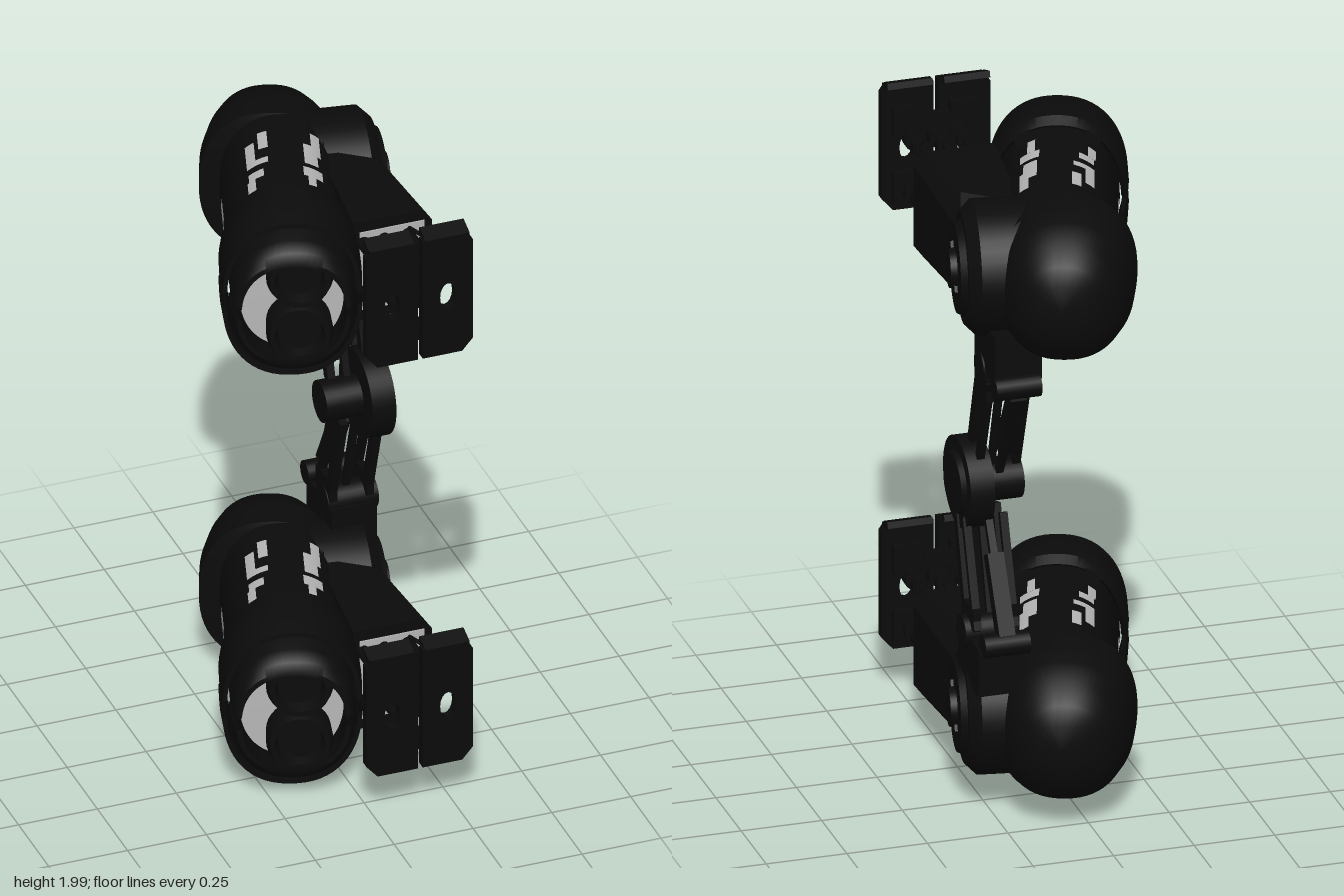
import * as THREE from 'three';
import { toCreasedNormals } from 'three/addons/utils/BufferGeometryUtils.js';
import { ConvexGeometry } from 'three/addons/geometries/ConvexGeometry.js';

const dark = new THREE.MeshStandardMaterial({ color: 0x0b0b0b, side: THREE.DoubleSide });
dark.name = 'black metal';
const pale = new THREE.MeshStandardMaterial({ color: 0xb8b8b8, side: THREE.DoubleSide });
pale.name = 'pale grey';

function add(parent, name, geo, mat = dark, x = 0, y = 0, z = 0) {
  const m = new THREE.Mesh(geo, mat);
  m.name = name;
  m.position.set(x, y, z);
  parent.add(m);
  return m;
}

// box given by its extents
function box(parent, name, x0, x1, y0, y1, z0, z1, mat = dark) {
  return add(parent, name, new THREE.BoxGeometry(x1 - x0, y1 - y0, z1 - z0), mat,
    (x0 + x1) / 2, (y0 + y1) / 2, (z0 + z1) / 2);
}

// cylinder along x
function xDisc(parent, name, r0, r1, x0, x1, y, z, sides = 40) {
  const g = new THREE.CylinderGeometry(r1, r0, x1 - x0, sides).rotateZ(-Math.PI / 2);
  return add(parent, name, g, dark, (x0 + x1) / 2, y, z);
}

// cylinder along z
function zRod(parent, name, r, x, y, z0, z1, sides = 14) {
  const g = new THREE.CylinderGeometry(r, r, z1 - z0, sides).rotateX(Math.PI / 2);
  return add(parent, name, g, dark, x, y, (z0 + z1) / 2);
}

// bar lying in a plane of constant x
function bar(parent, name, x, [y0, z0], [y1, z1], w, d) {
  const g = new THREE.BoxGeometry(w, Math.hypot(y1 - y0, z1 - z0), d);
  const m = add(parent, name, g, dark, x, (y0 + y1) / 2, (z0 + z1) / 2);
  m.rotation.x = Math.atan2(z1 - z0, y1 - y0);
}

// sweep a profile of [z, rx, ry, cx] round the pod axis, angles in degrees
function shell(profile, a0 = 0, a1 = 360) {
  const n = Math.max(4, Math.ceil((a1 - a0) / 6));
  const pos = [], idx = [];
  const soft = v => Math.sign(v) * Math.pow(Math.abs(v), 0.88);
  profile.forEach(([z, rx, ry, cx = 0], i) => {
    for (let j = 0; j <= n; j++) {
      const a = THREE.MathUtils.degToRad(a0 + (a1 - a0) * j / n);
      pos.push(cx + rx * soft(Math.cos(a)), ry * soft(Math.sin(a)), z);
      if (i && j) {
        const b = i * (n + 1) + j, p = b - n - 1;
        idx.push(p - 1, p, b, p - 1, b, b - 1);
      }
    }
  });
  const g = new THREE.BufferGeometry();
  g.setAttribute('position', new THREE.Float32BufferAttribute(pos, 3));
  g.setIndex(idx);
  g.computeVertexNormals();
  return toCreasedNormals(g, 0.6);
}

function makePod(name) {
  const pod = new THREE.Group();
  pod.name = name;
  const hull = new THREE.Group();
  hull.name = 'hull';
  hull.position.x = -0.058;
  hull.rotation.y = -0.31;
  pod.add(hull);

  // main body and domed rear cap
  add(hull, 'body', shell([[-0.4, 0.18, 0.235], [0.3, 0.18, 0.235], [0.33, 0.15, 0.19], [0.33, 0, 0]]));
  add(hull, 'rearCap', shell([
    [-0.61, 0, 0, -0.02], [-0.61, 0.06, 0.08, -0.02], [-0.585, 0.115, 0.135, -0.025],
    [-0.53, 0.165, 0.19, -0.025], [-0.46, 0.19, 0.222, -0.025], [-0.38, 0.205, 0.238, -0.03],
    [-0.29, 0.208, 0.24, -0.033], [-0.285, 0.17, 0.22, -0.01]]));

  // split hoop round the front, and the two jaws inside it
  const hoop = [[0.15, 0.2, 0.265], [0.18, 0.21, 0.285], [0.27, 0.212, 0.282], [0.375, 0.208, 0.262],
    [0.375, 0.195, 0.248], [0.17, 0.19, 0.252], [0.15, 0.2, 0.265]];
  const jaw = [[0.28, 0.185, 0.235], [0.4, 0.183, 0.222], [0.44, 0.178, 0.2], [0.455, 0.17, 0.175],
    [0.455, 0.155, 0.16], [0.3, 0.165, 0.2], [0.28, 0.185, 0.235]];
  for (const [a0, a1] of [[4, 175], [185, 356]]) {
    add(hull, 'hoop', shell(hoop, a0, a1));
    add(hull, 'jaw', shell(jaw, a0, a1));
  }
  for (const a of [60, 120, 240, 300]) add(hull, 'hoopBracket', shell(
    [[0.15, 0.17, 0.225], [0.15, 0.2, 0.268], [0.24, 0.2, 0.268], [0.24, 0.17, 0.225]], a - 8, a + 8));
  add(hull, 'mouthPlate', shell([[0.334, 0.155, 0.185], [0.336, 0, 0]]), pale);
  for (const s of [-1, 1]) {
    const tube = new THREE.LatheGeometry([[0, 0.31], [0.095, 0.31], [0.1, 0.4], [0.09, 0.43], [0.075, 0.43],
      [0.065, 0.39], [0, 0.39]].map(p => new THREE.Vector2(...p)), 32).rotateX(Math.PI / 2);
    add(hull, 'barrel', toCreasedNormals(tube, 0.5), dark, 0.02, 0.095 * s, 0);
  }

  // pale patches showing inside the long slots: [z0, z1, angle0, angle1]
  const patch = (z0, z1, a0, a1) => add(hull, 'slotPatch',
    shell([[z0, 0.183, 0.238], [z1, 0.183, 0.238]], a0, a1), pale);
  for (const s of [1, -1]) {
    for (const [z0, z1, a0, a1] of [[-0.2, -0.11, 102, 111], [-0.16, -0.04, 115, 125], [-0.06, -0.03, 103, 125],
      [0.0, 0.04, 108, 124], [0.04, 0.11, 117, 126],
      [-0.2, -0.08, 56, 66], [-0.13, -0.02, 60, 74], [0.0, 0.05, 56, 76], [0.05, 0.13, 64, 72]])
      patch(z0, z1, s > 0 ? a0 : -a1, s > 0 ? a1 : -a0);
    for (const a of s > 0 ? [114, 65] : [-114, -65]) for (const e of [-14, 14])
      add(hull, 'slotRim', shell([[-0.22, 0.184, 0.239], [0.14, 0.184, 0.239]], a + e - 1, a + e + 1));
  }
  patch(-0.14, -0.02, 172, 179);
  patch(-0.04, 0.06, 176, 186);
  patch(0.04, 0.14, 171, 178);

  // round shoulder boss on the outer side
  const boss = new THREE.Group();
  boss.name = 'shoulderBoss';
  boss.position.set(0.2, 0.01, -0.23);
  boss.rotation.y = -0.17;
  pod.add(boss);
  xDisc(boss, 'bossBase', 0.205, 0.205, -0.12, 0.07, 0, 0);
  xDisc(boss, 'bossBevel', 0.205, 0.17, 0.07, 0.105, 0, 0);
  xDisc(boss, 'bossFace', 0.145, 0.135, 0.105, 0.125, 0, 0);
  xDisc(boss, 'bossHub', 0.062, 0.058, 0.125, 0.145, 0, 0);
  const latch = add(boss, 'bossLatch', new THREE.BoxGeometry(0.012, 0.16, 0.03), dark, 0.128, 0, 0);
  latch.rotation.x = 0.7;

  // tapered side housing with an open pale front
  const pts = [];
  for (const s of [-1, 1]) for (const [x, h, z] of
    [[0.05, 0.17, 0.28], [0.27, 0.17, 0.28], [0.3, 0.13, 0.28], [0.275, 0.13, -0.03], [0.25, 0.17, -0.03],
      [0.29, 0.1, -0.15], [0.1, 0.17, -0.15]]) pts.push(new THREE.Vector3(x, s * h, z));
  add(pod, 'sideHousing', toCreasedNormals(new ConvexGeometry(pts), 0.3));
  box(pod, 'housingOpening', 0.07, 0.275, -0.135, 0.135, 0.279, 0.284, pale);

  // pistons and hoses carrying the front shield
  for (const x of [0.08, 0.145, 0.22]) for (const y of [-0.07, 0.1]) {
    zRod(pod, 'pistonRod', 0.011, x, y, 0.27, 0.54);
    zRod(pod, 'pistonSleeve', 0.02, x, y, 0.27, 0.4);
    zRod(pod, 'pistonCollar', 0.027, x, y, 0.455, 0.485);
    zRod(pod, 'pistonFoot', 0.034, x, y, 0.51, 0.55);
  }
  for (const y of [-0.07, 0.1]) {
    const path = new THREE.CatmullRomCurve3([[0.225, 0.28], [0.25, 0.36], [0.245, 0.42], [0.21, 0.47]]
      .map(([x, z]) => new THREE.Vector3(x, y + 0.02, z)));
    add(pod, 'hose', new THREE.TubeGeometry(path, 16, 0.006, 8));
  }

  // split front shield: two chamfered plates with small ports
  for (const [x0, x1, side] of [[-0.028, 0.134, -1], [0.15, 0.31, 1]]) {
    const o = side > 0 ? x1 : x0, i = side > 0 ? x0 : x1, c = 0.035 * side;
    const plate = new THREE.Shape([[i, -0.14], [o - c, -0.14], [o, -0.1], [o, 0.24], [o - c * 0.5, 0.265], [i, 0.265]]
      .map(p => new THREE.Vector2(...p)));
    const port = new THREE.Path();
    port.absellipse((x0 + x1) / 2, 0.06, 0.025, 0.045, 0, Math.PI * 2, true);
    plate.holes.push(port);
    add(pod, 'shieldPlate', new THREE.ExtrudeGeometry(plate, { depth: 0.032, bevelEnabled: false, curveSegments: 8 }),
      dark, 0, 0, 0.563);
    box(pod, 'shieldBacking', x0 + 0.03, x1 - 0.03, 0.11, 0.2, 0.535, 0.565);
    box(pod, 'shieldBacking', x0 + 0.03, x1 - 0.03, -0.11, -0.01, 0.535, 0.565);
    const lip = box(pod, 'shieldLip', x0 + 0.01, x1 - 0.01, 0.255, 0.275, 0.535, 0.59);
    lip.rotation.x = 0.35;
  }
  for (const y of [-0.07, 0.15]) box(pod, 'shieldTie', 0.1, 0.19, y - 0.02, y + 0.02, 0.53, 0.562);
  return pod;
}

// one half of the arm, from the elbow up to a pod
function makeArm(name) {
  const arm = new THREE.Group();
  arm.name = name;
  for (const x of [0.14, 0.255]) {
    bar(arm, 'frontRail', x, [0.08, -0.15], [0.42, -0.255], 0.024, 0.035);
    bar(arm, 'rearRail', x, [0.08, -0.225], [0.4, -0.34], 0.024, 0.02);
    bar(arm, 'railEnd', x, [0.37, -0.22], [0.37, -0.34], 0.024, 0.07);
  }
  bar(arm, 'middleRod', 0.2, [0.05, -0.17], [0.42, -0.28], 0.02, 0.02);
  bar(arm, 'piston', 0.2, [0.17, -0.31], [0.39, -0.43], 0.05, 0.045);
  bar(arm, 'pistonRod', 0.2, [0.07, -0.25], [0.22, -0.335], 0.022, 0.022);
  xDisc(arm, 'mainPivot', 0.05, 0.05, 0.11, 0.27, 0.425, -0.275, 24);
  xDisc(arm, 'pistonPivot', 0.036, 0.036, 0.13, 0.27, 0.415, -0.425, 20);
  box(arm, 'podBracket', 0.12, 0.265, 0.43, 0.58, -0.42, -0.215);
  return arm;
}

export function createModel() {
  const model = new THREE.Group();
  model.name = 'twinPodAssembly';
  for (const [name, y] of [['upperPod', 1.715], ['lowerPod', 0.29]]) {
    const pod = makePod(name);
    pod.position.y = y;
    model.add(pod);
  }
  const upper = makeArm('upperArm');
  upper.position.y = 1;
  const lower = makeArm('lowerArm');
  lower.position.set(0.4 + 0.035, 1, 0);
  lower.scale.set(-1, -1, 1); // half turn about z
  model.add(upper, lower);

  // elbow joint
  xDisc(model, 'elbowDisc', 0.14, 0.14, 0.225, 0.3, 1.005, -0.155);
  xDisc(model, 'elbowCap', 0.1, 0.09, 0.3, 0.315, 1.005, -0.155);
  xDisc(model, 'elbowAxle', 0.065, 0.065, 0.11, 0.225, 1, -0.155, 28);
  return model;
}
